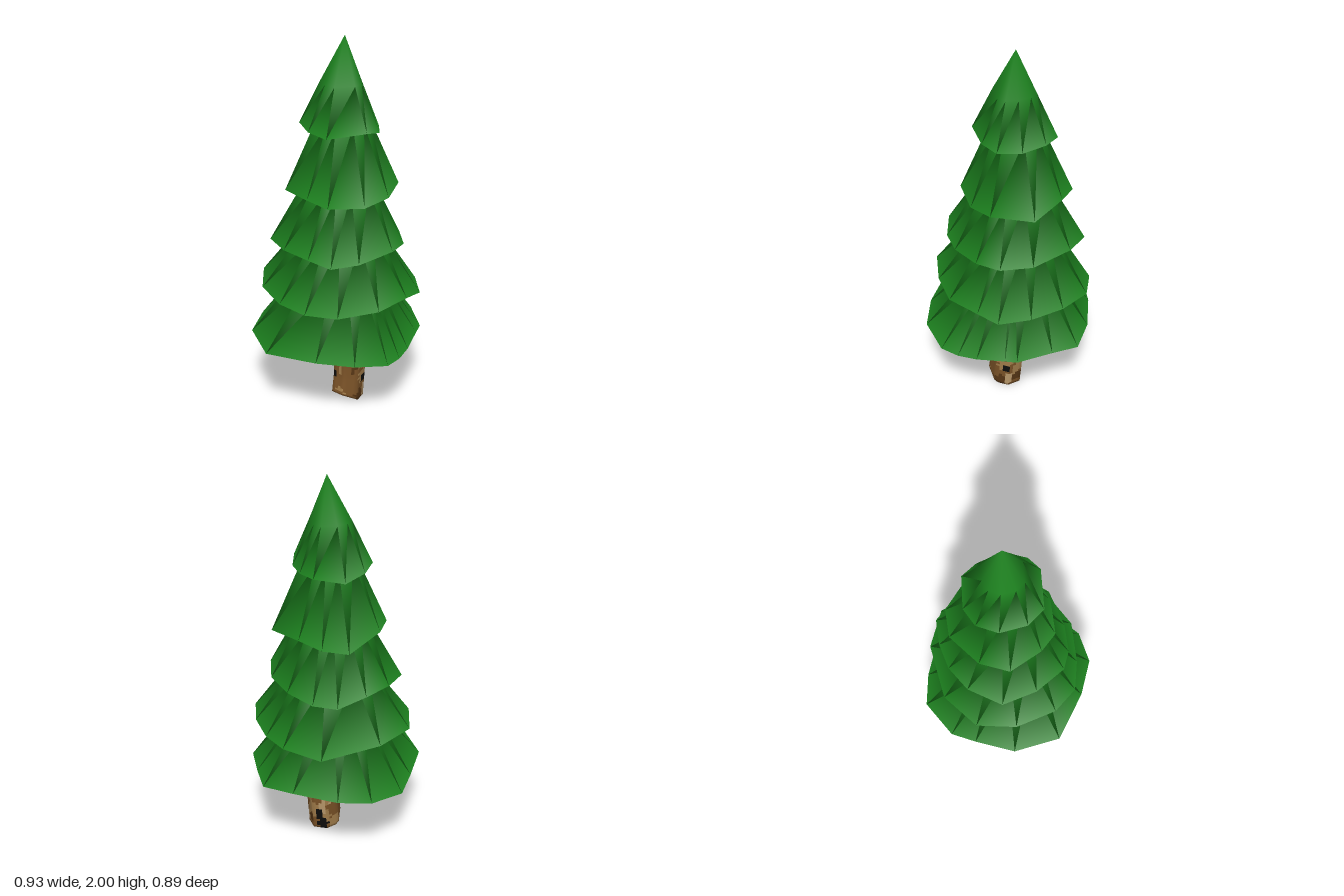
import * as THREE from 'three';

const mat = (name, color) => {
  const m = new THREE.MeshStandardMaterial({ color });
  m.name = name;
  return m;
};

function buildGeometry(positions, index) {
  const g = new THREE.BufferGeometry();
  g.setAttribute('position', new THREE.Float32BufferAttribute(positions, 3));
  g.setIndex(index);
  g.computeVertexNormals();
  return g;
}

// One closed branch tier: ragged rim, narrower shoulder, peak, and a deep hollow underside sharing the rim
function tierGeometry({ rim, shoulderY, shrink, peakY, hollowY }) {
  const n = rim.length, cx = 0.03, cz = 0.01;
  const positions = [], index = [];
  rim.forEach(([x, z, y]) => positions.push(x, y, z));
  rim.forEach(([x, z]) => positions.push(cx + (x - cx) * shrink, shoulderY, cz + (z - cz) * shrink));
  positions.push(0.04, peakY, 0.015, cx, hollowY, cz);
  const peak = 2 * n, hollow = 2 * n + 1;
  for (let i = 0; i < n; i++) {
    const j = (i + 1) % n;
    index.push(j, i, n + i, j, n + i, n + j); // outer slope
    index.push(n + j, n + i, peak);           // cap
    index.push(i, j, hollow);                 // underside
  }
  return buildGeometry(positions, index);
}

// Rim corners as [x, z, y], going round from the back
const bottomTier = {
  shoulderY: 0.74, shrink: 0.46, peakY: 0.96, hollowY: 0.9,
  rim: [[-0.01, -0.45, 0.38], [0.2, -0.425, 0.41], [0.31, -0.295, 0.41], [0.42, -0.09, 0.43],
    [0.46, 0.08, 0.42], [0.38, 0.2, 0.43], [0.26, 0.35, 0.42], [0.2, 0.37, 0.415],
    [0.06, 0.42, 0.4], [-0.04, 0.442, 0.395], [-0.14, 0.445, 0.4], [-0.295, 0.355, 0.43],
    [-0.39, 0.18, 0.43], [-0.465, -0.085, 0.42], [-0.335, -0.3, 0.42], [-0.14, -0.4, 0.41]],
};
const lowerTier = {
  shoulderY: 0.98, shrink: 0.48, peakY: 1.22, hollowY: 1.14,
  rim: [[-0.14, -0.385, 0.68], [0.09, -0.385, 0.68], [0.35, -0.22, 0.64], [0.435, -0.04, 0.68],
    [0.39, 0.12, 0.67], [0.3, 0.28, 0.67], [0.18, 0.4, 0.67], [0.06, 0.405, 0.69],
    [-0.13, 0.375, 0.68], [-0.29, 0.24, 0.66], [-0.39, 0.11, 0.68], [-0.395, -0.05, 0.69],
    [-0.3, -0.25, 0.68]],
};
const middleTier = {
  shoulderY: 1.24, shrink: 0.52, peakY: 1.5, hollowY: 1.42,
  rim: [[-0.035, -0.33, 0.95], [0.115, -0.31, 0.94], [0.25, -0.24, 0.9], [0.345, -0.16, 0.93],
    [0.355, 0, 0.95], [0.26, 0.2, 0.93], [0.14, 0.32, 0.94], [0.015, 0.345, 0.95],
    [-0.16, 0.27, 0.92], [-0.27, 0.18, 0.91], [-0.325, 0.08, 0.95], [-0.3, -0.1, 0.94],
    [-0.215, -0.265, 0.92]],
};
const upperTier = {
  shoulderY: 1.57, shrink: 0.46, peakY: 1.8, hollowY: 1.72,
  rim: [[-0.05, -0.255, 1.22], [0.165, -0.24, 1.17], [0.27, -0.155, 1.2], [0.29, -0.02, 1.22],
    [0.26, 0.19, 1.2], [0.06, 0.28, 1.21], [-0.08, 0.24, 1.19], [-0.22, 0.12, 1.2],
    [-0.235, 0, 1.22], [-0.19, -0.18, 1.21]],
};
const topTier = {
  shoulderY: 1.77, shrink: 0.51, peakY: 2, hollowY: 1.88,
  rim: [[0.01, -0.205, 1.54], [0.12, -0.175, 1.51], [0.23, -0.065, 1.54], [0.222, 0.03, 1.54],
    [0.155, 0.14, 1.53], [0.06, 0.218, 1.54], [-0.03, 0.21, 1.56], [-0.175, 0.075, 1.54],
    [-0.175, -0.04, 1.55], [-0.1, -0.16, 1.55]],
};

// Bark colours by index: brown, tan, dark brown, black, light tan
const BROWN = 0, TAN = 1, DARK = 2, BLACK = 3, LIGHT = 4;

// Hand-placed blotches: [angle from +x towards +z, height, half angle, half height, colour]
const blotches = [
  [125, 0.12, 45, 0.09, BROWN], [70, 0.26, 35, 0.11, TAN], [125, 0.35, 18, 0.04, DARK],
  [95, 0.22, 30, 0.015, BROWN], [75, 0.16, 22, 0.04, TAN], [300, 0.3, 16, 0.12, TAN],
  [320, 0.16, 14, 0.05, LIGHT], [345, 0.24, 12, 0.06, BROWN],
  [68, 0.36, 17, 0.03, BLACK], [63, 0.15, 15, 0.027, BLACK], [322, 0.04, 20, 0.05, BLACK],
  [334, 0.11, 16, 0.05, BLACK], [350, 0.4, 17, 0.025, BLACK], [275, 0.5, 14, 0.035, BLACK],
  [205, 0.2, 15, 0.03, BLACK],
];

// Bent seven-sided trunk; each bark cell gets a material through its own group
function trunkGeometry() {
  const sides = 7, cols = sides * 4, rows = 44, top = 0.75;
  const spine = new THREE.CatmullRomCurve3([
    new THREE.Vector3(0.007, 0, 0.063), new THREE.Vector3(0.024, 0.2, 0.063),
    new THREE.Vector3(0.018, 0.42, 0.06), new THREE.Vector3(0.02, top, 0.04)]);
  const positions = [], index = [];
  for (let r = 0; r <= rows; r++) {
    const t = r / rows, c = spine.getPoint(t);
    for (let k = 0; k < cols; k++) {
      const a = (k / cols) * Math.PI * 2, half = Math.PI / sides;
      const f = Math.cos(half) / Math.cos((a % (2 * half)) - half);
      const dx = Math.cos(a) * 0.092 * f, dz = Math.sin(a) * 0.081 * f;
      // slanted cut at the foot
      const lift = Math.max(0, -dx) * 0.6 * Math.max(0, 1 - t * 4);
      positions.push(c.x + dx, c.y + lift, c.z + dz);
    }
  }
  const foot = positions.length / 3;
  positions.push(0.01, 0.01, 0.063);

  const cells = new Array(cols * rows).fill(BROWN);
  const paint = ([angle, height, halfAngle, halfHeight, color]) => {
    for (let id = 0; id < cells.length; id++) {
      const cellAngle = ((id % cols) + 0.5) * 360 / cols;
      const cellY = (Math.floor(id / cols) + 0.5) * top / rows;
      const da = ((cellAngle - angle + 540) % 360) - 180;
      if ((da / halfAngle) ** 2 + ((cellY - height) / halfHeight) ** 2 <= 1) cells[id] = color;
    }
  };
  // Scattered bark flecks from a seeded sequence, then the larger blotches
  let seed = 17;
  const rand = (lo, hi) => {
    seed = (seed * 16807) % 2147483647;
    return lo + (hi - lo) * (seed / 2147483647);
  };
  const fleckColors = [TAN, BROWN, DARK, TAN, LIGHT, BROWN, TAN];
  const fleck = (p) => paint([rand(0, 360), rand(0, top), rand(9, 24), rand(0.02, 0.07),
    fleckColors[p % fleckColors.length]]);
  for (let p = 0; p < 110; p++) fleck(p);
  blotches.forEach(paint);

  const ranges = [];
  for (let m = BROWN; m <= LIGHT; m++) {
    const start = index.length;
    cells.forEach((color, id) => {
      if (color !== m) return;
      const r = Math.floor(id / cols), k = id % cols, j = (k + 1) % cols;
      const a = r * cols + k, b = r * cols + j;
      index.push(b, a, a + cols, b, a + cols, b + cols);
    });
    if (m === BROWN) for (let k = 0; k < cols; k++) index.push(k, (k + 1) % cols, foot);
    ranges.push([start, index.length - start, m]);
  }
  const g = buildGeometry(positions, index);
  ranges.forEach((range) => g.addGroup(...range));
  return g;
}

export function createModel() {
  const tree = new THREE.Group();
  tree.name = 'firTree';
  const green = mat('needleGreen', 0x1c7f1e);
  const bark = [mat('barkBrown', 0x7a5227), mat('barkTan', 0xa17c4a), mat('barkDarkBrown', 0x573615),
    mat('barkBlack', 0x0e0d0c), mat('barkLightTan', 0xb8976a)];

  const trunk = new THREE.Mesh(trunkGeometry(), bark);
  trunk.name = 'trunk';
  tree.add(trunk);

  Object.entries({ bottomTier, lowerTier, middleTier, upperTier, topTier }).forEach(([name, spec]) => {
    const mesh = new THREE.Mesh(tierGeometry(spec), green);
    mesh.name = name;
    tree.add(mesh);
  });
  return tree;
}
